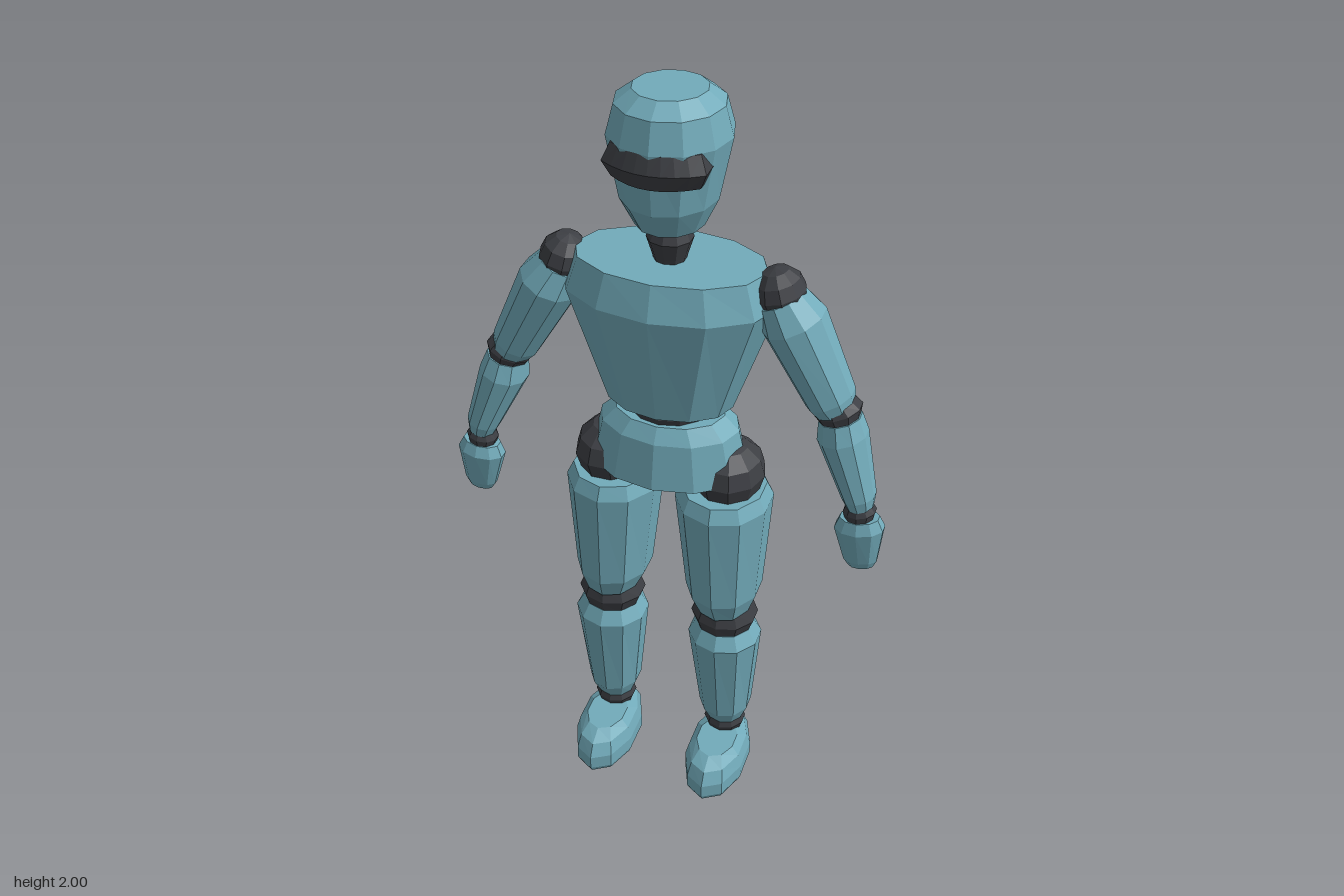
import * as THREE from 'three';

const shell = new THREE.MeshStandardMaterial({ color: 0x72abba });
shell.name = 'tealShell';
const joint = new THREE.MeshStandardMaterial({ color: 0x3c3e43 });
joint.name = 'darkJoint';

// Give every face its own normal
function faceted(geometry) {
  const g = geometry.index ? geometry.toNonIndexed() : geometry;
  g.computeVertexNormals();
  return g;
}

function add(parent, name, geometry, material) {
  const mesh = new THREE.Mesh(faceted(geometry), material);
  mesh.name = name;
  parent.add(mesh);
  return mesh;
}

// Closed loft through elliptical rings [x, y, z, rx, rz], listed top to bottom.
// side mirrors x, tilt leans the rings about the z axis.
function loft(rings, sides = 12, side = 1, tilt = 0) {
  const pos = [], idx = [];
  for (const [x, y, z, rx, rz] of rings) {
    for (let i = 0; i < sides; i++) {
      const a = (i / sides) * Math.PI * 2, u = rx * Math.sin(a);
      pos.push(x * side + u * Math.cos(tilt), y + u * Math.sin(tilt * side), z + rz * Math.cos(a));
    }
  }
  for (let r = 0; r < rings.length - 1; r++) {
    for (let i = 0; i < sides; i++) {
      const j = (i + 1) % sides, a = r * sides, b = a + sides;
      idx.push(a + i, b + i, b + j, a + i, b + j, a + j);
    }
  }
  const last = (rings.length - 1) * sides;
  for (let i = 1; i < sides - 1; i++) {
    idx.push(0, i, i + 1, last, last + i + 1, last + i);
  }
  const g = new THREE.BufferGeometry();
  g.setAttribute('position', new THREE.Float32BufferAttribute(pos, 3));
  g.setIndex(idx);
  return g;
}

function ball(x, y, z, rx, ry, rz, tilt = 0) {
  return new THREE.SphereGeometry(1, 10, 6).scale(rx, ry, rz).rotateZ(tilt).translate(x, y, z);
}

// Wraparound visor: a box bent around the face with chamfered edges
function visorGeometry() {
  const g = new THREE.BoxGeometry(0.24, 0.08, 0.05, 8, 2, 2);
  const p = g.attributes.position;
  for (let i = 0; i < p.count; i++) {
    const x = p.getX(i), y = p.getY(i), z = p.getZ(i);
    const edge = Math.abs(y) > 0.03;
    p.setX(i, edge ? x * 0.86 : x);
    p.setY(i, 1.86 + y);
    p.setZ(i, 0.11 + z - (edge && z > 0.02 ? 0.015 : 0) - 3 * x * x);
  }
  return g;
}

function makeArm(side) {
  const arm = new THREE.Group();
  arm.name = side > 0 ? 'leftArm' : 'rightArm';
  add(arm, 'shoulderJoint', ball(0.265 * side, 1.54, -0.027, 0.062, 0.064, 0.068, 0.25 * side), joint);
  add(arm, 'upperArm', loft([
    [0.268, 1.53, -0.025, 0.058, 0.066],
    [0.302, 1.473, -0.025, 0.078, 0.089],
    [0.4, 1.285, -0.022, 0.062, 0.07],
    [0.415, 1.257, -0.02, 0.05, 0.056],
  ], 10, side, 0.44), shell);
  add(arm, 'elbowJoint', loft([
    [0.41, 1.282, -0.02, 0.045, 0.05],
    [0.422, 1.255, -0.02, 0.06, 0.058],
    [0.432, 1.222, -0.02, 0.045, 0.05],
  ], 10, side, 0.35), joint);
  add(arm, 'forearm', loft([
    [0.428, 1.237, -0.019, 0.053, 0.056],
    [0.438, 1.19, -0.015, 0.063, 0.068],
    [0.495, 1.04, 0.012, 0.043, 0.046],
    [0.502, 1.012, 0.015, 0.034, 0.037],
  ], 10, side, 0.25), shell);
  add(arm, 'wristJoint', loft([
    [0.498, 1.02, 0.014, 0.03, 0.032],
    [0.501, 0.997, 0.015, 0.042, 0.04],
    [0.503, 0.97, 0.017, 0.034, 0.034],
  ], 10, side, 0.15), joint);
  add(arm, 'hand', loft([
    [0.503, 0.98, 0.018, 0.05, 0.036],
    [0.505, 0.95, 0.019, 0.064, 0.046],
    [0.515, 0.85, 0.018, 0.044, 0.028],
    [0.517, 0.83, 0.018, 0.033, 0.02],
  ], 10, side, 0.12), shell);
  return arm;
}

function makeLeg(side) {
  const leg = new THREE.Group();
  leg.name = side > 0 ? 'leftLeg' : 'rightLeg';
  add(leg, 'hipJoint', ball(0.155 * side, 1.01, -0.025, 0.095, 0.088, 0.105), joint);
  add(leg, 'thigh', loft([
    [0.146, 0.967, -0.023, 0.108, 0.12],
    [0.147, 0.93, -0.023, 0.125, 0.138],
    [0.154, 0.64, -0.02, 0.1, 0.117],
    [0.158, 0.58, -0.018, 0.075, 0.092],
  ], 10, side), shell);
  add(leg, 'kneeJoint', loft([
    [0.16, 0.59, -0.014, 0.073, 0.073],
    [0.16, 0.548, -0.012, 0.09, 0.084],
    [0.16, 0.505, -0.012, 0.073, 0.073],
  ], 10, side), joint);
  add(leg, 'shin', loft([
    [0.161, 0.515, -0.013, 0.077, 0.077],
    [0.162, 0.475, -0.013, 0.099, 0.099],
    [0.165, 0.2, -0.03, 0.072, 0.08],
    [0.165, 0.15, -0.03, 0.053, 0.053],
  ], 10, side), shell);
  add(leg, 'ankleJoint', loft([
    [0.165, 0.16, -0.03, 0.047, 0.047],
    [0.165, 0.13, -0.03, 0.058, 0.056],
    [0.165, 0.1, -0.03, 0.047, 0.047],
  ], 10, side), joint);
  add(leg, 'foot', loft([
    [0.165, 0.115, 0.045, 0.055, 0.08],
    [0.165, 0.092, 0.033, 0.076, 0.135],
    [0.165, 0.055, 0.032, 0.086, 0.157],
    [0.165, 0.015, 0.032, 0.086, 0.157],
    [0.165, 0, 0.032, 0.08, 0.15],
  ], 10, side), shell);
  return leg;
}

export function createModel() {
  const figure = new THREE.Group();
  figure.name = 'jointedFigure';

  // Head and neck
  add(figure, 'head', loft([
    [0, 2, -0.025, 0.086, 0.088],
    [0, 1.97, -0.025, 0.126, 0.13],
    [0, 1.9, -0.026, 0.145, 0.15],
    [0, 1.75, -0.026, 0.115, 0.132],
    [0, 1.68, -0.026, 0.082, 0.09],
  ]), shell);
  add(figure, 'visor', visorGeometry(), joint);
  add(figure, 'neck', loft([
    [0, 1.7, -0.024, 0.04, 0.04],
    [0, 1.675, -0.024, 0.042, 0.042],
    [0, 1.64, -0.024, 0.056, 0.056],
    [0, 1.595, -0.024, 0.042, 0.042],
    [0, 1.57, -0.024, 0.035, 0.035],
  ], 10), joint);

  // Torso
  add(figure, 'chest', loft([
    [0, 1.585, -0.025, 0.235, 0.14],
    [0, 1.5, -0.025, 0.265, 0.167],
    [0, 1.2, -0.025, 0.162, 0.112],
  ]), shell);
  add(figure, 'waistJoint', loft([
    [0, 1.215, -0.026, 0.095, 0.085],
    [0, 1.185, -0.026, 0.105, 0.095],
    [0, 1.15, -0.026, 0.095, 0.085],
  ]), joint);
  add(figure, 'pelvis', loft([
    [0, 1.17, -0.025, 0.142, 0.1],
    [0, 1.132, -0.025, 0.18, 0.125],
    [0, 1.01, -0.025, 0.208, 0.145],
    [0, 0.985, -0.025, 0.1, 0.11],
  ]), shell);

  // Limbs
  for (const side of [1, -1]) figure.add(makeArm(side), makeLeg(side));
  return figure;
}
